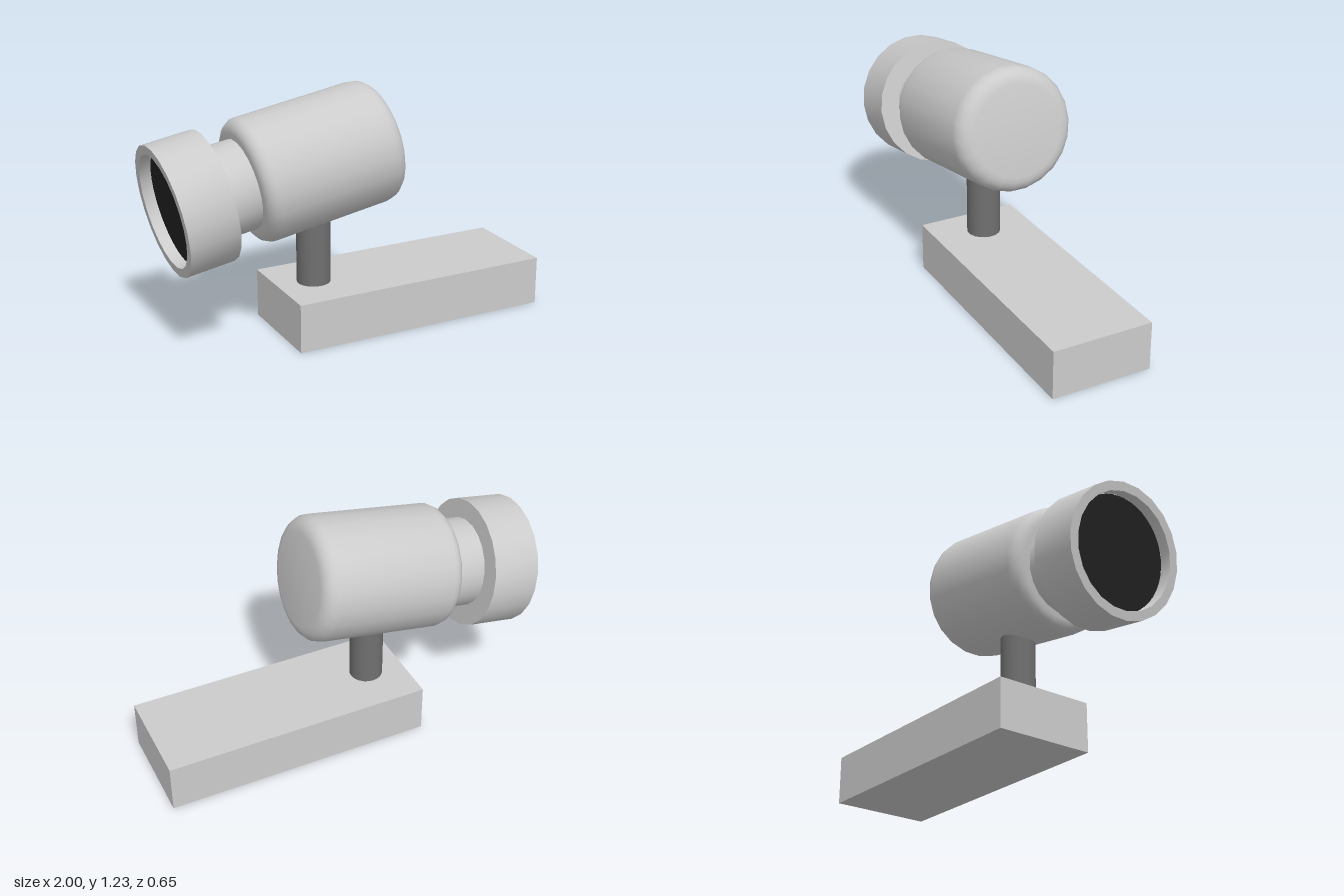
import * as THREE from 'three';
import { toCreasedNormals } from 'three/addons/utils/BufferGeometryUtils.js';

const SIDES = 22;
const TILT = THREE.MathUtils.degToRad(10);

const grey = new THREE.MeshStandardMaterial({ color: 0xcccccc });
const darkGrey = new THREE.MeshStandardMaterial({ color: 0x707070 });
const black = new THREE.MeshStandardMaterial({ color: 0x222222 });

function part(name, geometry, material, x = 0, y = 0, z = 0) {
  const mesh = new THREE.Mesh(geometry, material);
  mesh.name = name;
  mesh.position.set(x, y, z);
  return mesh;
}

// Turned solid from [radius, height] pairs, with hard corners kept sharp
function turned(pairs) {
  const points = pairs.map(([r, h]) => new THREE.Vector2(r, h));
  return toCreasedNormals(new THREE.LatheGeometry(points, SIDES), Math.PI / 5);
}

// Points of a quarter-round corner in a turned profile
function corner(r, h, radius, from) {
  const pairs = [];
  for (let i = 0; i <= 5; i++) {
    const a = from + (i / 5) * Math.PI / 2;
    pairs.push([r + radius * Math.cos(a), h + radius * Math.sin(a)]);
  }
  return pairs;
}

export function createModel() {
  const model = new THREE.Group();
  model.name = 'spotCamera';

  // Base block and post
  model.add(part('base', new THREE.BoxGeometry(1.365, 0.25, 0.52), grey, 0.3175, 0.125, 0));
  model.add(part('post', new THREE.CylinderGeometry(0.085, 0.085, 0.4, SIDES), darkGrey, -0.17, 0.45, 0));

  // Tilted head: local y runs from the lens opening to the rear cap
  const head = new THREE.Group();
  head.name = 'head';
  head.position.set(-0.943, 0.736, 0);
  head.rotation.z = TILT - Math.PI / 2;
  model.add(head);

  // Hood with a recessed opening
  head.add(part('lensHood', turned([
    [0.28, 0.06], [0.28, 0], [0.325, 0], [0.325, 0.25], [0, 0.25],
  ]), grey));

  // Dark glass inside the hood, facing outward
  const glass = part('lensGlass', new THREE.CircleGeometry(0.28, SIDES), black, 0, 0.058, 0);
  glass.rotation.x = Math.PI / 2;
  head.add(glass);

  // Neck between hood and body
  head.add(part('neck', turned([[0, 0.24], [0.224, 0.24], [0.224, 0.43], [0, 0.43]]), grey, -0.005, 0, 0));

  // Body with rounded ends
  const R = 0.31, front = 0.06, rear = 0.08;
  head.add(part('body', turned([
    [0, 0.41],
    ...corner(R - front, 0.41 + front, front, -Math.PI / 2),
    ...corner(R - rear, 1.16 - rear, rear, 0),
    [0, 1.16],
  ]), grey, -0.008, 0, 0));

  return model;
}
